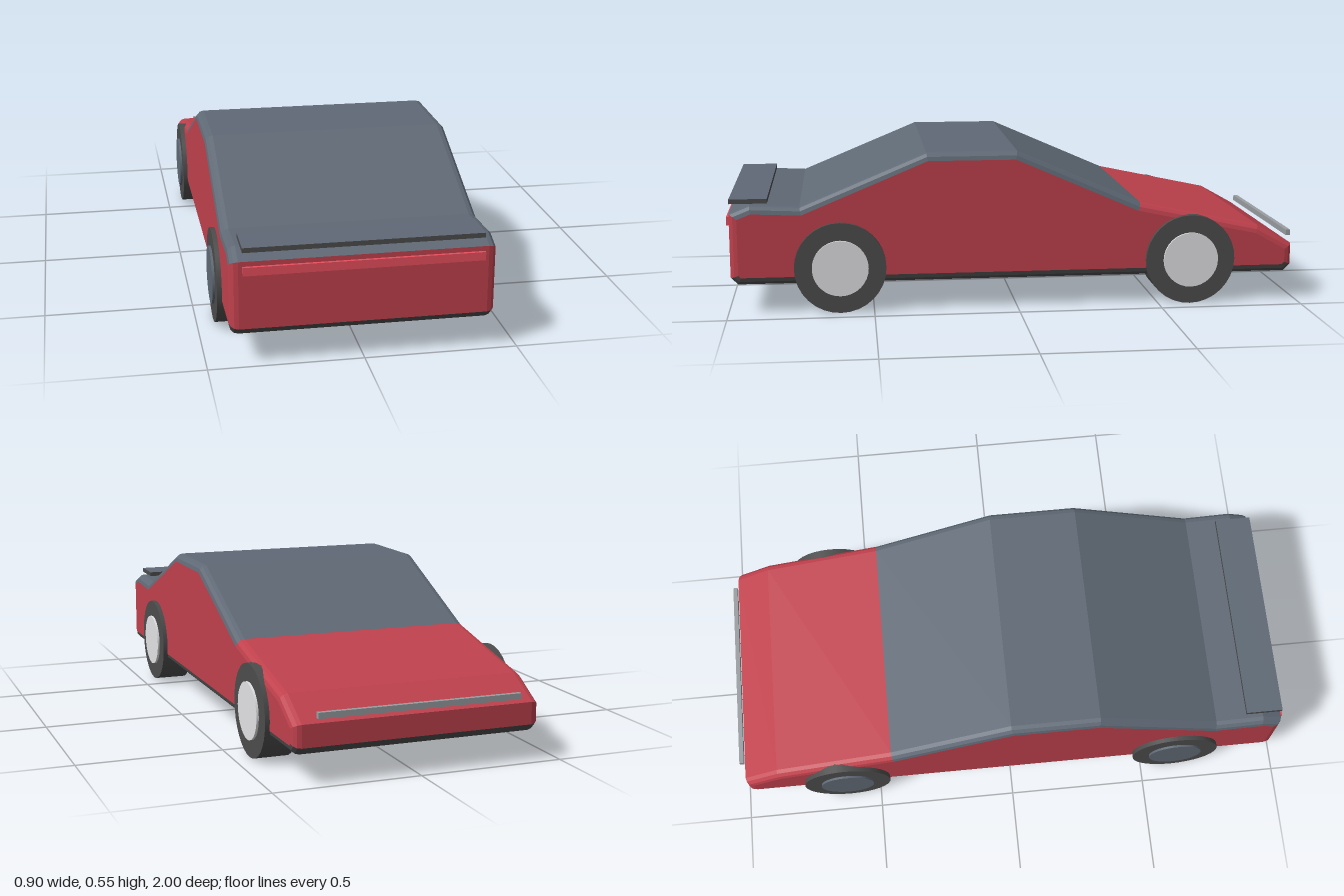
import * as THREE from 'three';

const mat = (name, color) => {
  const m = new THREE.MeshStandardMaterial({ color });
  m.name = name;
  return m;
};

export function createModel() {
  const red = mat('body red', 0xc0414d);
  const slate = mat('slate glass', 0x5f6975);
  const dark = mat('dark rubber', 0x4c4c4c);
  const silver = mat('hub silver', 0xe2e2e5);
  const grey = mat('bar grey', 0x9a9ea2);
  const lamp = mat('lamp red', 0xe84f5d);

  const car = new THREE.Group();
  car.name = 'car';
  const add = (name, geometry, material, x, y, z) => {
    const mesh = new THREE.Mesh(geometry, material);
    mesh.name = name;
    mesh.position.set(x, y, z);
    car.add(mesh);
    return mesh;
  };

  // Body: wedge side profile (z, y) extruded across the width with rounded edges
  const profile = [
    [-0.96, 0.1], [0.965, 0.1], [0.99, 0.125], [0.99, 0.35], [0.92, 0.378],
    [0.75, 0.37], [0.315, 0.55], [0, 0.55], [-0.435, 0.36], [-0.86, 0.27],
    [-0.985, 0.2], [-0.985, 0.125],
  ];
  const bevel = 0.028, width = 0.852;
  const shape = new THREE.Shape(profile.map(([z, y]) => new THREE.Vector2(z, y)));
  const body = new THREE.ExtrudeGeometry(shape, {
    depth: width - 2 * bevel, bevelEnabled: true, bevelSize: bevel,
    bevelThickness: bevel, bevelOffset: -bevel, bevelSegments: 3,
  });
  body.translate(0, 0, -(width / 2 - bevel));
  body.rotateY(-Math.PI / 2);

  // Body colours: dark underside, slate upper faces behind the hood, red elsewhere
  body.clearGroups();
  const pos = body.attributes.position;
  const tri = new THREE.Triangle(), n = new THREE.Vector3(), c = new THREE.Vector3();
  let start = 0, current = -1;
  for (let i = 0; i < pos.count; i += 3) {
    tri.setFromAttributeAndIndices(pos, i, i + 1, i + 2);
    tri.getNormal(n);
    tri.getMidpoint(c);
    const up = Math.abs(n.x) > 0.99 ? 0 : n.y / (Math.hypot(n.y, n.z) || 1);
    const index = up < -0.5 ? 2 : up > 0.85 && c.z > -0.435 ? 1 : 0;
    if (index !== current) {
      if (i > 0) body.addGroup(start, i - start, current);
      start = i;
      current = index;
    }
  }
  body.addGroup(start, pos.count - start, current);
  add('body', body, [red, slate, dark], 0, 0, 0);

  // Wheels with raised hub discs; the hubs differ in colour by side
  const tyre = new THREE.CylinderGeometry(0.158, 0.158, 0.113, 32).rotateZ(Math.PI / 2);
  const hub = new THREE.CylinderGeometry(0.097, 0.097, 0.02, 32).rotateZ(Math.PI / 2);
  for (const side of [1, -1]) {
    for (const [end, z] of [['rear', 0.615], ['front', -0.612]]) {
      const label = end + (side > 0 ? 'Left' : 'Right');
      add(label + 'Tyre', tyre, dark, side * 0.3855, 0.158, z);
      add(label + 'Hub', hub, side > 0 ? silver : slate, side * 0.44, 0.158, z);
    }
  }

  // Spoiler blade: slate top, dark edges and underside
  add('spoiler', new THREE.BoxGeometry(0.77, 0.016, 0.13),
    [dark, dark, slate, dark, dark, dark], 0, 0.387, 0.925);

  // Light strips across both ends
  add('lampStrip', new THREE.BoxGeometry(0.77, 0.028, 0.014), lamp, 0, 0.32, 0.993);
  add('noseBar', new THREE.BoxGeometry(0.7, 0.02, 0.016), grey, 0, 0.227, -0.992);

  return car;
}
